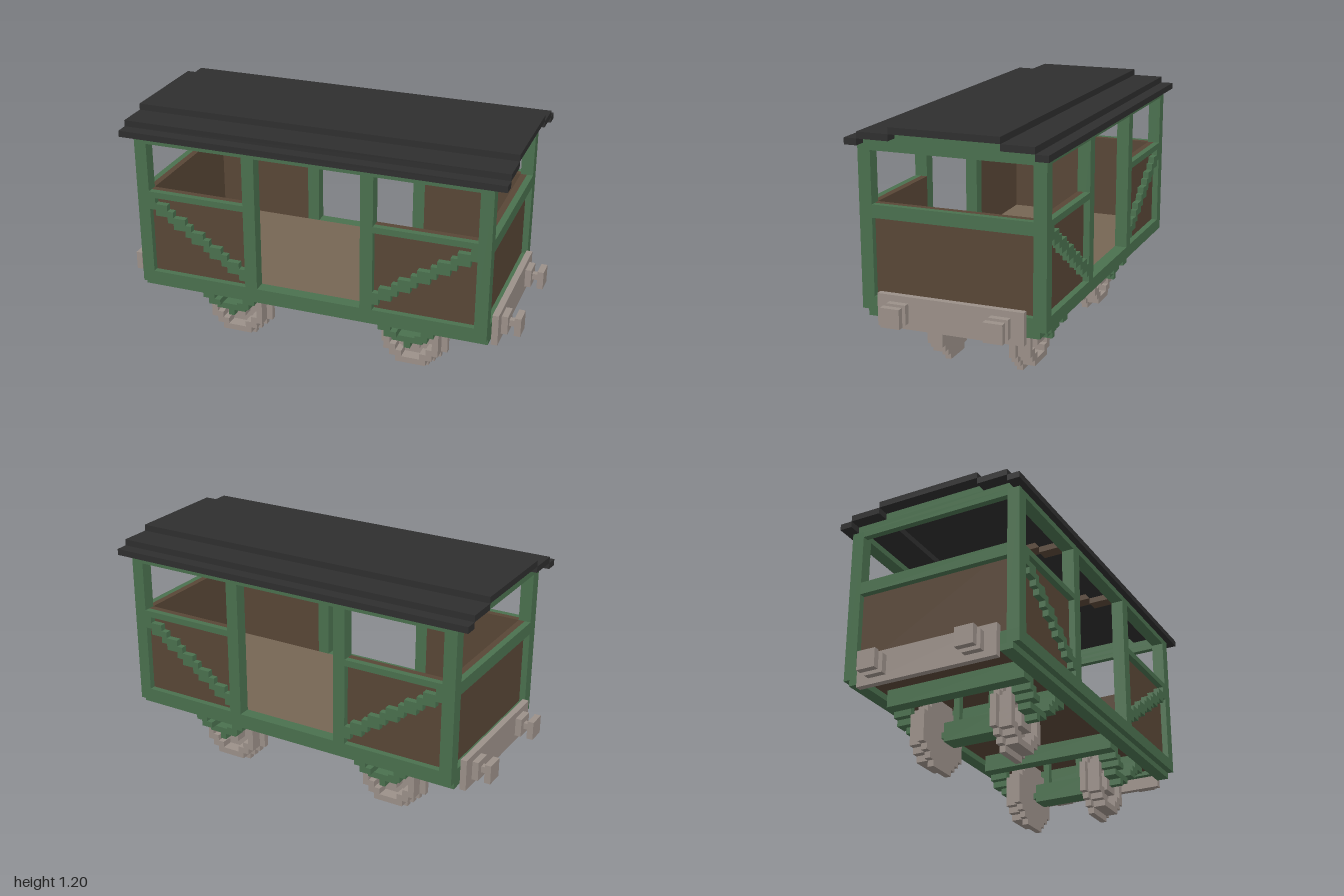
import * as THREE from 'three';

const U = 2 / 65; // one block
const mat = (name, color) => Object.assign(new THREE.MeshStandardMaterial({ color }), { name });

export function createModel() {
  const green = mat('green paint', 0x4a704e);
  const brown = mat('brown planks', 0x584636);
  const pale = mat('pale floor boards', 0x766654);
  const grey = mat('grey metal', 0x9b9089);
  const black = mat('black roofing', 0x2e2e2e);
  const root = new THREE.Group();
  root.name = 'wagon';

  // Box from ranges in blocks, given as [min, max]
  const box = (name, m, x, y, z) => {
    const size = [x, y, z].map(r => Math.abs(r[1] - r[0]) * U);
    const mesh = new THREE.Mesh(new THREE.BoxGeometry(...size), m);
    mesh.position.set(...[x, y, z].map(r => (r[0] + r[1]) / 2 * U));
    mesh.name = name;
    root.add(mesh);
  };
  const flip = (r, s) => [r[0] * s, r[1] * s];
  const signs = [1, -1];
  // Mirrored copies: both sides, both ends, or all four corners
  const sides = (n, m, x, y, z) => signs.forEach(s => box(n, m, x, y, flip(z, s)));
  const ends = (n, m, x, y, z) => signs.forEach(s => box(n, m, flip(x, s), y, z));
  const corners = (n, m, x, y, z) => signs.forEach(s => sides(n, m, flip(x, s), y, z));

  // Stepped roof
  box('roofTop', black, [-30.5, 30.5], [38, 39], [-8.5, 8.5]);
  sides('roofStep', black, [-30.5, 30.5], [37, 38], [8.5, 13.5]);
  sides('roofEave', black, [-30.5, 30.5], [36, 37], [13.5, 15.5]);
  ends('roofTieMiddle', brown, [8.5, 10.5], [37, 38], [-8.5, 8.5]);
  corners('roofTieEnd', brown, [8.5, 10.5], [36, 37], [8.5, 13.5]);

  // Floor and sills
  box('floor', pale, [-27.5, 27.5], [12, 13], [-12.5, 12.5]);
  box('floorUnderside', brown, [-27.5, 27.5], [11.75, 12], [-12.5, 12.5]);
  sides('sideSill', green, [-28.5, 28.5], [11, 13], [12.5, 14.5]);
  sides('lowerSill', green, [-28.5, 28.5], [10, 11], [11.5, 13.5]);
  ends('endSill', green, [27.5, 28.5], [11, 13], [-12.5, 12.5]);

  // Side walls
  corners('cornerPost', green, [26.5, 28.5], [13, 36], [12.5, 14.5]);
  corners('doorPost', green, [8.5, 10.5], [13, 35], [12.5, 14.5]);
  sides('topRail', green, [-26.5, 26.5], [35, 36], [12.5, 14.5]);
  corners('sidePanel', brown, [10.5, 26.5], [13, 27], [12.5, 13.5]);
  corners('windowRail', green, [10.5, 26.5], [26, 27], [13.5, 14.5]);

  // Stepped diagonal braces
  for (let i = 0; i < 16; i++) {
    const y = 14 + Math.round(i * 10 / 15);
    corners('brace', green, [10.5 + i, 11.5 + i], [y, y + 2], [13.5, 14.5]);
  }

  // End walls
  ends('endPanel', brown, [26.5, 27.5], [13, 27], [-12.5, 12.5]);
  ends('endWindowRail', green, [27.5, 28.5], [25, 27], [-12.5, 12.5]);
  ends('gableBase', green, [27.5, 28.5], [35, 36], [-12.5, 12.5]);
  ends('gableMiddle', green, [27.5, 28.5], [36, 37], [-13.5, 13.5]);
  ends('gableTop', green, [27.5, 28.5], [37, 38], [-8.5, 8.5]);

  // End beams and bumpers
  ends('endBeam', grey, [28.5, 29.5], [9, 14], [-11.5, 11.5]);
  corners('bumperPlate', grey, [29.5, 30.5], [10, 13], [6.5, 9.5]);
  corners('bumperStem', grey, [30.5, 31.5], [11, 12], [7.5, 8.5]);
  corners('bumperHead', grey, [31.5, 32.5], [10, 13], [6.5, 9.5]);

  // Underframe
  for (const x of [[8.5, 10.5], [19.5, 21.5]]) ends('crossBeam', green, x, [9, 11.75], [-11.5, 11.5]);
  ends('axleCasing', green, [13.5, 16.5], [4, 7], [-4.5, 4.5]);
  sides('axleEnds', green, [14.5, 15.5], [5, 6], [4.5, 5.5]);
  sides('axleEnds', green, [-15.5, -14.5], [5, 6], [4.5, 5.5]);
  corners('hanger', green, [14.5, 15.5], [7, 11.75], [2.5, 3.5]);

  // Stepped V springs: y, inner and outer half width, z range
  const spring = [[5, 0, 0.5, 8.5, 10.5], [6, 0, 2.5, 8.5, 10.5], [7, 1.5, 3.5, 8.5, 11.5],
    [8, 2.5, 4.5, 8.5, 11.5], [9, 3.5, 5.5, 8.5, 11.5]];
  for (const [y, a, b, z0, z1] of spring) {
    for (const s of signs) corners('spring', green, [15 + s * a, 15 + s * b], [y, y + 1], [z0, z1]);
  }

  // Wheels: rows of blocks filling a circle, optionally hollow
  const half = (d, k) => Math.floor(Math.sqrt(d * d / 4 - k * k)) + 0.5;
  const disc = (name, d, hole, z) => {
    const n = (d - 1) / 2;
    for (let k = -n; k <= n; k++) {
      const o = half(d, k), y = [5 + k, 6 + k];
      if (Math.abs(k) > (hole - 1) / 2) corners(name, grey, [15 - o, 15 + o], y, z);
      else for (const s of signs) corners(name, grey, [15 + s * half(hole, k), 15 + s * o], y, z);
    }
  };
  disc('wheelFlange', 11, 0, [5.5, 6.5]);
  disc('wheelTread', 9, 7, [6.5, 8.5]);
  corners('wheelHub', grey, [13.5, 16.5], [4, 7], [6.5, 8.5]);

  return root;
}
